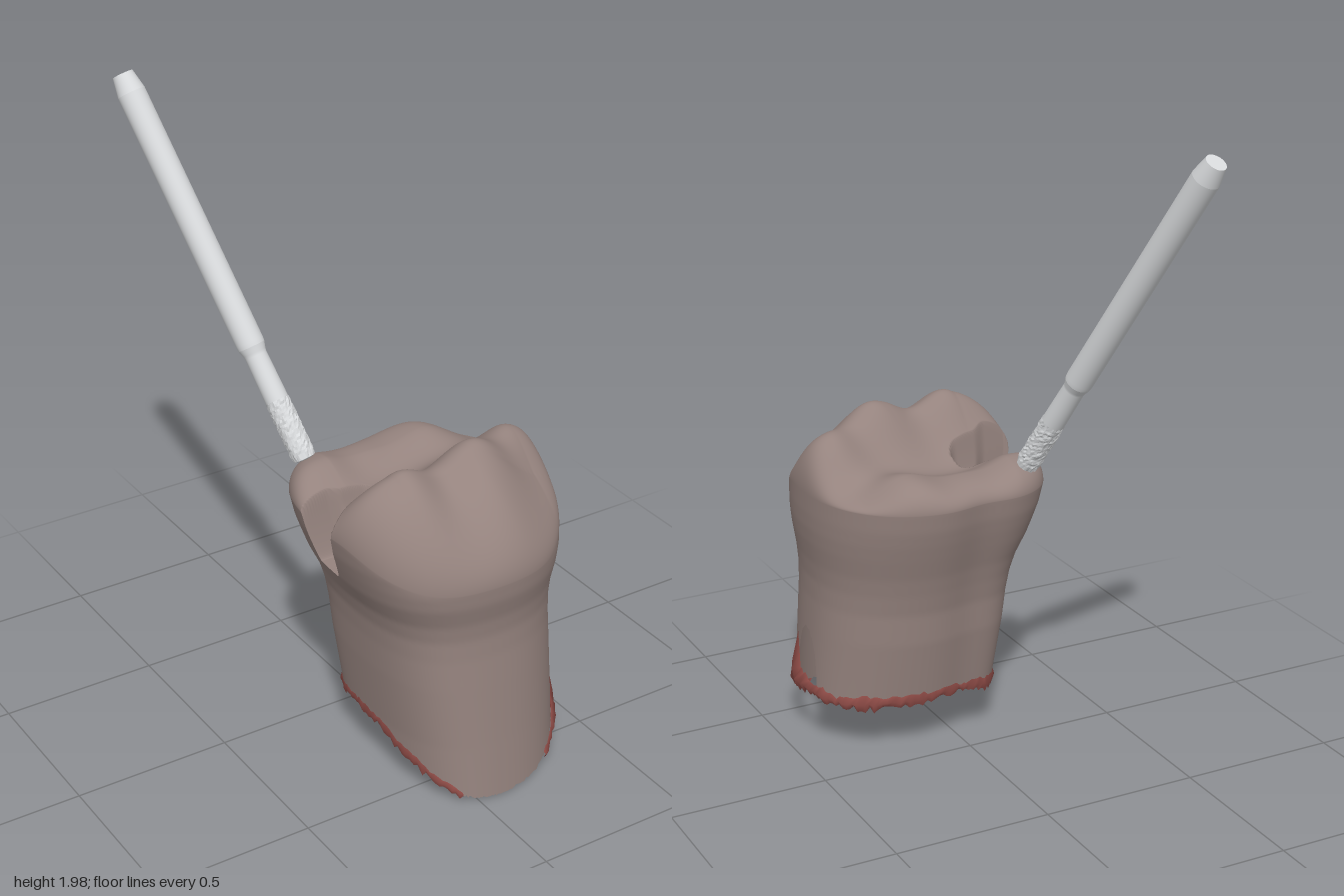
import * as THREE from 'three';

const CX = 0.07, CZ = 0.28, TAU = Math.PI * 2;
const { smoothstep, lerp, clamp } = THREE.MathUtils;

function seeded(seed) {
  return () => {
    seed = (seed * 16807) % 2147483647;
    return seed / 2147483647;
  };
}

// piecewise-linear lookup; rows are [key, value...]
function lookup(rows, key, col) {
  if (key <= rows[0][0]) return rows[0][col];
  for (let i = 1; i < rows.length; i++) {
    const a = rows[i - 1], b = rows[i];
    if (key <= b[0]) return lerp(a[col], b[col], (key - a[0]) / (b[0] - a[0]));
  }
  return rows[rows.length - 1][col];
}

// extents of the tooth: y, xMin, xMax, zMin, zMax
const EXTENTS = [
  [0.00, -0.15, 0.43, 0.06, 0.672], [0.20, -0.165, 0.425, 0.035, 0.655],
  [0.40, -0.19, 0.415, 0.00, 0.64], [0.50, -0.20, 0.41, -0.01, 0.632],
  [0.57, -0.21, 0.41, -0.025, 0.63], [0.63, -0.228, 0.415, -0.04, 0.637],
  [0.70, -0.262, 0.425, -0.062, 0.655], [0.75, -0.28, 0.43, -0.077, 0.66],
  [0.80, -0.297, 0.432, -0.09, 0.655], [0.86, -0.31, 0.432, -0.10, 0.65],
];

// lower broken edge, by sine of the angle around the tooth
const LOWER = [[-1, 0.20], [-0.6, 0.19], [-0.2, 0.2], [0.2, 0.19], [0.55, 0.13], [0.9, 0.035], [1, 0.02]];

// point on the outline at angle t and height y, scaled by k towards the axis
function ring(t, y, k = 1) {
  const c = Math.cos(t), s = Math.sin(t);
  const n = 2.25 + Math.max(0, -c) * (s < 0 ? -1.6 * s : 0.7 * s);
  const r = k / Math.pow(Math.abs(c) ** n + Math.abs(s) ** n, 1 / n);
  const rx = c > 0 ? lookup(EXTENTS, y, 2) - CX : CX - lookup(EXTENTS, y, 1);
  const rz = s > 0 ? lookup(EXTENTS, y, 4) - CZ : CZ - lookup(EXTENTS, y, 3);
  const x = CX + c * r * rx;
  // shallow dent in the back, between its two lobes
  const dent = s < 0 ? 0.022 * k * s * s * Math.exp(-(((x + 0.02) / 0.09) ** 2)) : 0;
  return [x, CZ + s * r * rz + dent];
}

// cusps: x, z, height, spread
const CUSPS = [
  [-0.13, 0.42, 0.20, 0.14], [0.14, 0.39, 0.21, 0.15], [0.36, 0.28, 0.155, 0.125],
  [-0.19, 0.04, 0.10, 0.12], [0.0, 0.02, 0.05, 0.1], [0.2, 0.03, 0.09, 0.13],
];
const soften = (v, lo, hi) => v + 0.6 * (clamp(v, lo, hi) - v);
function chewingHeight(x, z) {
  const px = soften(x, -0.15, 0.34), pz = soften(z, 0.04, 0.42);
  let h = 0.86;
  for (const [cx, cz, a, s] of CUSPS) h += a * Math.exp(-((px - cx) ** 2 + (pz - cz) ** 2) / (s * s));
  return h;
}

// stepped cavity with a rounded inner end, in the right side of the crown
function cavityFloor(x, z) {
  const u = clamp((-0.04 - x) / 0.25, 0, 1), R = 0.06;
  const qx = x + 0.035 + R, qz = Math.abs(z - (0.21 + 0.03 * u)) - (0.08 + 0.022 * u) + R;
  const d = Math.hypot(Math.max(qx, 0), Math.max(qz, 0)) + Math.min(Math.max(qx, qz), 0) - R;
  const floor = lerp(0.7, 0.82, smoothstep(x, -0.215, -0.165));
  return floor + 0.5 * smoothstep(d, -0.045, 0.03);
}

// closed-loop surface from a point rule
function loopSurface(nu, nv, point) {
  const pos = [], idx = [];
  for (let j = 0; j <= nv; j++) for (let i = 0; i < nu; i++) pos.push(...point(i, j));
  for (let j = 0; j < nv; j++) for (let i = 0; i < nu; i++) {
    const a = j * nu + i, b = j * nu + (i + 1) % nu;
    idx.push(a, a + nu, b, b, a + nu, b + nu);
  }
  return surface(pos, idx);
}

function surface(pos, idx) {
  const g = new THREE.BufferGeometry();
  g.setAttribute('position', new THREE.Float32BufferAttribute(pos, 3));
  g.setIndex(idx);
  g.computeVertexNormals();
  return g;
}

function toothGeometry() {
  const NU = 340, SIDE = 50, TOP = 100, rand = seeded(7);
  // columns crowd together around the cavity
  const angle = (i) => i / NU * TAU + 0.5 * Math.sin(i / NU * TAU);
  const edge = [];
  for (let i = 0; i < NU; i++) {
    const t = angle(i), z = ring(t, 0.2)[1];
    const arch = Math.cos(t) > 0 ? 1 - ((z - 0.315) / 0.08) ** 2 : 0;
    edge.push(lookup(LOWER, Math.sin(t), 1) + 0.2 * Math.sqrt(Math.max(0, arch)) + 0.01 * (rand() - 0.5));
  }
  return loopSurface(NU, SIDE + TOP, (i, j) => {
    const t = angle(i), front = smoothstep(Math.sin(t), 0.2, 0.95);
    const belt = lerp(0.86, 0.75, front);
    if (j <= SIDE) {
      const y0 = lerp(edge[i], belt, j / SIDE);
      const y = Math.min(y0, cavityFloor(...ring(t, y0)));
      const [x, z] = ring(t, y);
      return [x, y, z];
    }
    // crown: rounds over from the belt and follows the cusps to the middle
    const k = Math.cos((j - SIDE) / TOP * Math.PI / 2);
    const [bx, bz] = ring(t, belt, k);
    const rise = Math.sqrt(1 - Math.pow(k, lerp(8, 2.5, front)));
    const y = Math.min(lerp(belt, chewingHeight(bx, bz), rise), cavityFloor(bx, bz));
    const [x, z] = ring(t, Math.min(belt, y), k);
    return [x, y, z];
  });
}

// ragged gum remnant along the lower edge: open at the front, thicker on the left
function gumGeometry() {
  const N = 130, rand = seeded(23), pos = [], idx = [];
  const start = Math.PI * 0.66, span = Math.PI * 1.66;
  for (let i = 0; i <= N; i++) {
    const t = start + span * i / N, base = lookup(LOWER, Math.sin(t), 1);
    const z0 = ring(t, base)[1], left = Math.max(0, Math.cos(t));
    const peak = left > 0 ? 0.15 * Math.max(0, 1 - Math.abs(z0 - 0.405) / 0.05) : 0;
    const patch = 0.5 + 0.5 * Math.sin(t * 9) * Math.sin(t * 4 + 1);
    const low = Math.max(0, base - 0.004 - (0.012 + 0.025 * patch) * rand());
    const high = base + 0.008 + 0.014 * rand() + 0.025 * left * patch + peak;
    const flare = 1.015 + 0.015 * rand() + 0.05 * left * patch;
    for (const [y, k] of [[low, 1.005], [(low + high) / 2, flare], [high, 1.006]]) {
      const [x, z] = ring(t, y, k);
      pos.push(x, y, Math.min(z, 0.67));
    }
  }
  for (let i = 0; i < N; i++) for (let j = 0; j < 2; j++) {
    const a = i * 3 + j, b = a + 3;
    idx.push(a, a + 1, b, b, a + 1, b + 1);
  }
  return surface(pos, idx);
}

// coarse grit: a cylinder whose vertices are pushed in and out
function gritGeometry(length) {
  const around = 32, rows = 24, rand = seeded(91);
  const jitter = Array.from({ length: around * (rows + 1) }, () => 0.004 * (rand() - 0.5));
  const g = loopSurface(around, rows, (i, j) => {
    const tip = j < 3 ? [0, 0.024, 0.034][j] : 0.037;
    const r = Math.max(0, tip + (j ? jitter[j * around + i] : 0)), t = i / around * TAU;
    return [r * Math.cos(t), j < 3 ? j * 0.003 : length * j / rows, r * Math.sin(t)];
  }).toNonIndexed();
  g.computeVertexNormals();
  return g;
}

export function createModel() {
  const enamel = new THREE.MeshStandardMaterial({ color: 0x95837e, side: THREE.DoubleSide });
  enamel.name = 'enamel';
  const gum = new THREE.MeshStandardMaterial({ color: 0x8f4c47, side: THREE.DoubleSide });
  gum.name = 'gum red';
  const steel = new THREE.MeshStandardMaterial({ color: 0xd8dadc });
  steel.name = 'steel';

  const model = new THREE.Group();
  const add = (parent, name, geometry, material) => {
    const mesh = new THREE.Mesh(geometry, material);
    mesh.name = name;
    parent.add(mesh);
    return mesh;
  };
  add(model, 'tooth', toothGeometry(), enamel);
  add(model, 'gumRemnant', gumGeometry(), gum);

  // drill bit, built upright and tilted onto its axis
  const drill = new THREE.Group();
  drill.name = 'drillBit';
  const tip = new THREE.Vector3(-0.193, 0.93, -0.002), end = new THREE.Vector3(-0.41, 1.982, -0.655);
  const axis = end.clone().sub(tip), L = axis.length();
  const lathe = (pts) => new THREE.LatheGeometry(pts.map(([r, y]) => new THREE.Vector2(r, y)), 40);
  add(drill, 'grit', gritGeometry(0.2), steel);
  add(drill, 'neck', lathe([[0.036, 0.19], [0.035, 0.28], [0.034, 0.345], [0.036, 0.355], [0.042, 0.375]]), steel);
  add(drill, 'shank', lathe([[0.042, 0.375], [0.043, 0.39], [0.043, L - 0.06]]), steel);
  add(drill, 'shankChamfer', lathe([[0.043, L - 0.06], [0.032, L]]), steel);
  const cap = add(drill, 'shankEnd', new THREE.CircleGeometry(0.032, 40), steel);
  cap.rotation.x = -Math.PI / 2;
  cap.position.y = L;
  drill.position.copy(tip);
  drill.quaternion.setFromUnitVectors(new THREE.Vector3(0, 1, 0), axis.normalize());
  model.add(drill);
  return model;
}
